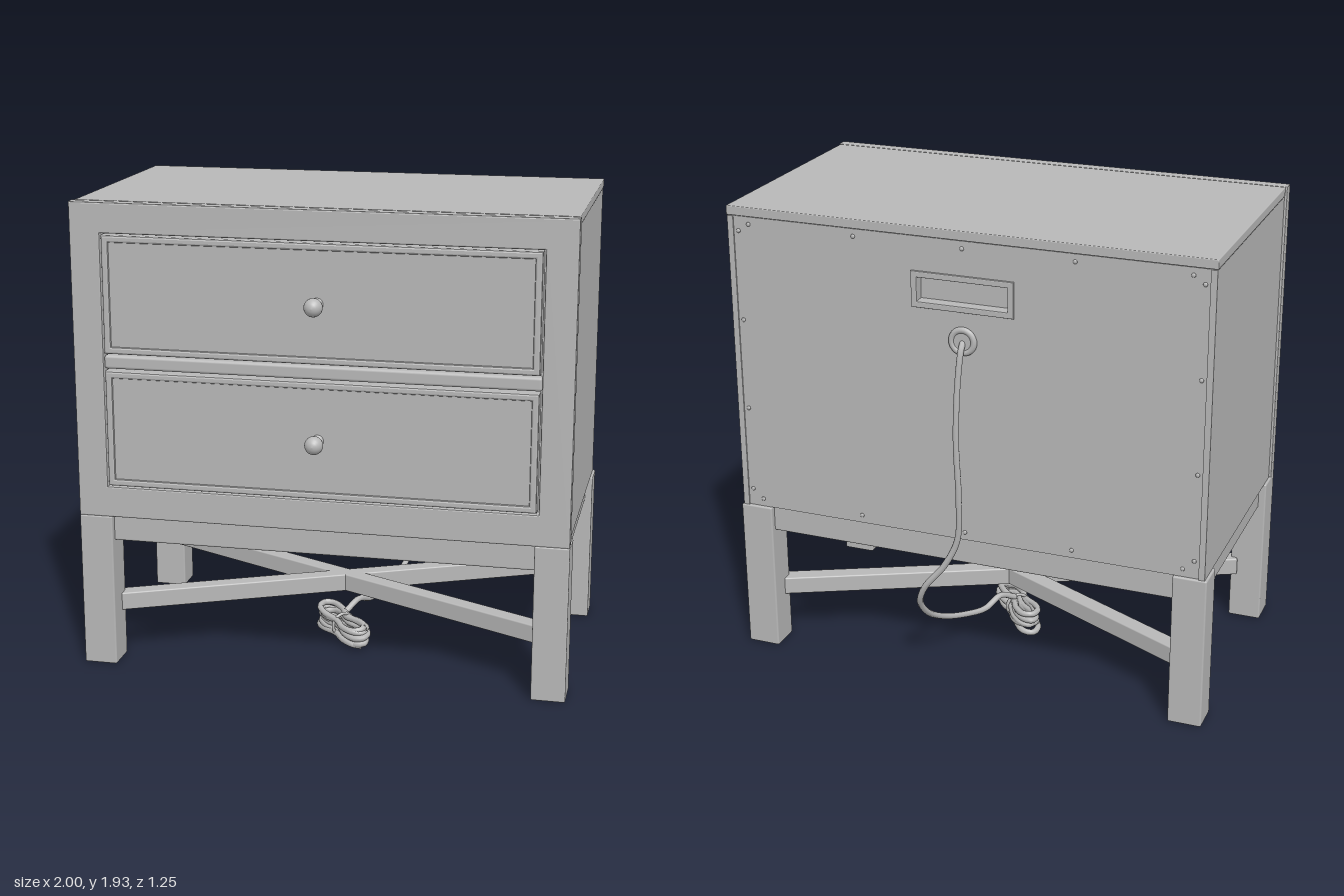
import * as THREE from 'three';
import { RoundedBoxGeometry } from 'three/addons/geometries/RoundedBoxGeometry.js';

const V = (x, y, z) => new THREE.Vector3(x, y, z);

export function createModel() {
  const model = new THREE.Group();
  model.name = 'nightstand';
  const grey = new THREE.MeshStandardMaterial({ color: 0xb8b8b8 });
  grey.name = 'plain grey';

  const add = (name, geometry) => {
    const mesh = new THREE.Mesh(geometry, grey);
    mesh.name = name;
    model.add(mesh);
    return mesh;
  };
  // Box given by its limits on each axis, with optional eased edges
  const box = (name, x0, x1, y0, y1, z0, z1, r = 0) => {
    const size = [x1 - x0, y1 - y0, z1 - z0];
    const g = r ? new RoundedBoxGeometry(...size, 2, r) : new THREE.BoxGeometry(...size);
    const mesh = add(name, g);
    mesh.position.set((x0 + x1) / 2, (y0 + y1) / 2, (z0 + z1) / 2);
    return mesh;
  };
  const rect = (S, x0, x1, y0, y1) => new S([
    new THREE.Vector2(x0, y0), new THREE.Vector2(x1, y0),
    new THREE.Vector2(x1, y1), new THREE.Vector2(x0, y1)]);
  // Plate with holes between two depths, with a small bevel
  const plate = (name, outline, holes, z0, z1, bevel) => {
    const shape = rect(THREE.Shape, ...outline);
    holes.forEach(h => shape.holes.push(rect(THREE.Path, ...h)));
    const g = new THREE.ExtrudeGeometry(shape, {
      depth: z1 - z0 - 2 * bevel, bevelEnabled: bevel > 0, bevelThickness: bevel,
      bevelSize: bevel, bevelOffset: -bevel, bevelSegments: 2 });
    g.translate(0, 0, z0 + bevel);
    return add(name, g);
  };

  // Cabinet shell
  box('topBoard', -0.993, 0.993, 1.892, 1.93, -0.572, 0.462, 0.004);
  box('bottomBoard', -0.97, 0.97, 0.645, 0.68, -0.56, 0.467);
  for (const s of [-1, 1]) {
    const side = box('sidePanel', -0.0125, 0.0125, 0.645, 1.889, -0.57, 0.462);
    side.position.x = s * 0.9775;
  }
  box('frontBacking', -0.98, 0.98, 0.65, 1.92, 0.44, 0.472);
  plate('backPanel', [-0.966, 0.966, 0.647, 1.89], [[-0.19, 0.19, 1.625, 1.735]], -0.565, -0.545, 0);

  // Front frame, middle rail and drawers
  plate('frontFrame', [-1, 1, 0.643, 1.93], [[-0.875, 0.875, 0.772, 1.808]], 0.467, 0.517, 0.006);
  box('middleRail', -0.875, 0.875, 1.262, 1.318, 0.465, 0.512, 0.012);
  const knobProfile = [[0.026, 0], [0.024, 0.006], [0.014, 0.014], [0.012, 0.028]];
  for (let i = 0; i <= 10; i++) {
    const a = -1.2 + (1.2 + Math.PI / 2) * i / 10;
    knobProfile.push([Math.max(0, 0.037 * Math.cos(a)), 0.067 + 0.037 * Math.sin(a)]);
  }
  const knobGeometry = new THREE.LatheGeometry(knobProfile.map(p => new THREE.Vector2(...p)), 24);
  knobGeometry.rotateX(Math.PI / 2);
  for (const y of [1.018, 1.565]) {
    plate('drawerEdge', [-0.867, 0.867, y - 0.238, y + 0.238],
      [[-0.838, 0.838, y - 0.209, y + 0.209]], 0.468, 0.529, 0.008);
    box('drawerPanel', -0.842, 0.842, y - 0.213, y + 0.213, 0.468, 0.521);
    add('knob', knobGeometry).position.set(0, y, 0.518);
  }

  // Legs and upper rails
  for (const s of [-1, 1]) {
    const a = s < 0 ? -1 : 0.862, b = s < 0 ? -0.862 : 1;
    box('frontLeg', a, b, 0, 0.645, 0.38, 0.518, 0.007);
    box('backLeg', a, b, 0, 0.645, -0.574, -0.445, 0.007);
    box('sideRail', s * 0.93 - 0.04, s * 0.93 + 0.04, 0.535, 0.645, -0.45, 0.385, 0.008);
  }
  box('frontRail', -0.867, 0.867, 0.535, 0.645, 0.41, 0.49, 0.008);
  box('backRail', -0.867, 0.867, 0.535, 0.645, -0.55, -0.47, 0.008);

  // Crossed stretchers between opposite legs
  for (const s of [-1, 1]) {
    const bar = add('crossStretcher', new RoundedBoxGeometry(Math.hypot(1.76, 0.86), 0.075, 0.07, 2, 0.006));
    bar.position.set(0, 0.243, -0.032);
    bar.rotation.y = s * Math.atan2(0.86, 1.76);
  }

  // Recessed hand grip on the back
  plate('gripRim', [-0.21, 0.21, 1.607, 1.753], [[-0.185, 0.185, 1.632, 1.728]], -0.574, -0.55, 0.004);
  box('gripFloor', -0.2, 0.2, 1.615, 1.745, -0.525, -0.515);
  for (const s of [-1, 1]) {
    box('gripEnd', s * 0.192 - 0.005, s * 0.192 + 0.005, 1.62, 1.74, -0.56, -0.515);
    box('gripWall', -0.19, 0.19, 1.68 + s * 0.053 - 0.005, 1.68 + s * 0.053 + 0.005, -0.56, -0.515);
  }

  // Cable grommet
  add('grommet', new THREE.TorusGeometry(0.046, 0.013, 10, 28)).position.set(0, 1.49, -0.565);
  const plug = add('grommetPlug', new THREE.CylinderGeometry(0.044, 0.044, 0.012, 24));
  plug.rotation.x = Math.PI / 2;
  plug.position.set(0, 1.49, -0.566);

  // Small screws round the back panel
  const screwGeometry = new THREE.SphereGeometry(0.009, 10, 6);
  screwGeometry.scale(1, 1, 0.6);
  const screw = (x, y) => add('screw', screwGeometry).position.set(x, y, -0.566);
  for (const y of [0.68, 1.86]) for (const x of [-0.9, -0.45, 0, 0.45, 0.9]) screw(x, y);
  for (const x of [-0.945, 0.945]) for (const y of [0.72, 1.08, 1.46, 1.83]) screw(x, y);

  // Power cord hanging from the grommet to the floor
  const cord = new THREE.CatmullRomCurve3([
    V(0, 1.49, -0.56), V(0, 1.46, -0.585), V(0.01, 1.3, -0.604), V(0.015, 1.08, -0.61),
    V(0.01, 0.85, -0.602), V(0.025, 0.65, -0.586), V(0.08, 0.53, -0.59), V(0.165, 0.42, -0.598),
    V(0.197, 0.34, -0.575), V(0.195, 0.25, -0.5), V(0.17, 0.18, -0.39), V(0.12, 0.135, -0.26),
    V(0.075, 0.12, -0.16), V(0.04, 0.145, -0.07), V(0, 0.11, 0)]);
  add('powerCord', new THREE.TubeGeometry(cord, 120, 0.013, 8));

  // Cord folded into a bundle, pinched at the tie
  const bundle = new THREE.Group();
  bundle.name = 'cordBundle';
  const turns = 6, steps = 12, coil = [];
  for (let i = 0; i <= turns * steps; i++) {
    const a = i / steps * Math.PI * 2, k = i / steps;
    const u = Math.cos(a) * (0.165 + 0.018 * Math.sin(k * 2.4));
    const w = 0.022 + 0.034 * Math.abs(Math.cos(a)) + 0.008 * Math.sin(k * 5);
    coil.push(V(u, 0.018 + 0.084 * k / turns + 0.008 * Math.sin(a * 1.5), Math.sin(a) * w * 1.2));
  }
  const loops = new THREE.Mesh(new THREE.TubeGeometry(new THREE.CatmullRomCurve3(coil), 360, 0.0135, 8), grey);
  loops.name = 'cordLoops';
  const tie = new THREE.Mesh(new THREE.TorusGeometry(0.05, 0.007, 8, 24), grey);
  tie.name = 'cordTie';
  tie.rotation.y = Math.PI / 2;
  tie.position.y = 0.059;
  bundle.add(loops, tie);
  bundle.position.set(-0.005, 0, 0.025);
  bundle.rotation.y = -Math.atan2(0.37, 0.31);
  model.add(bundle);

  return model;
}
